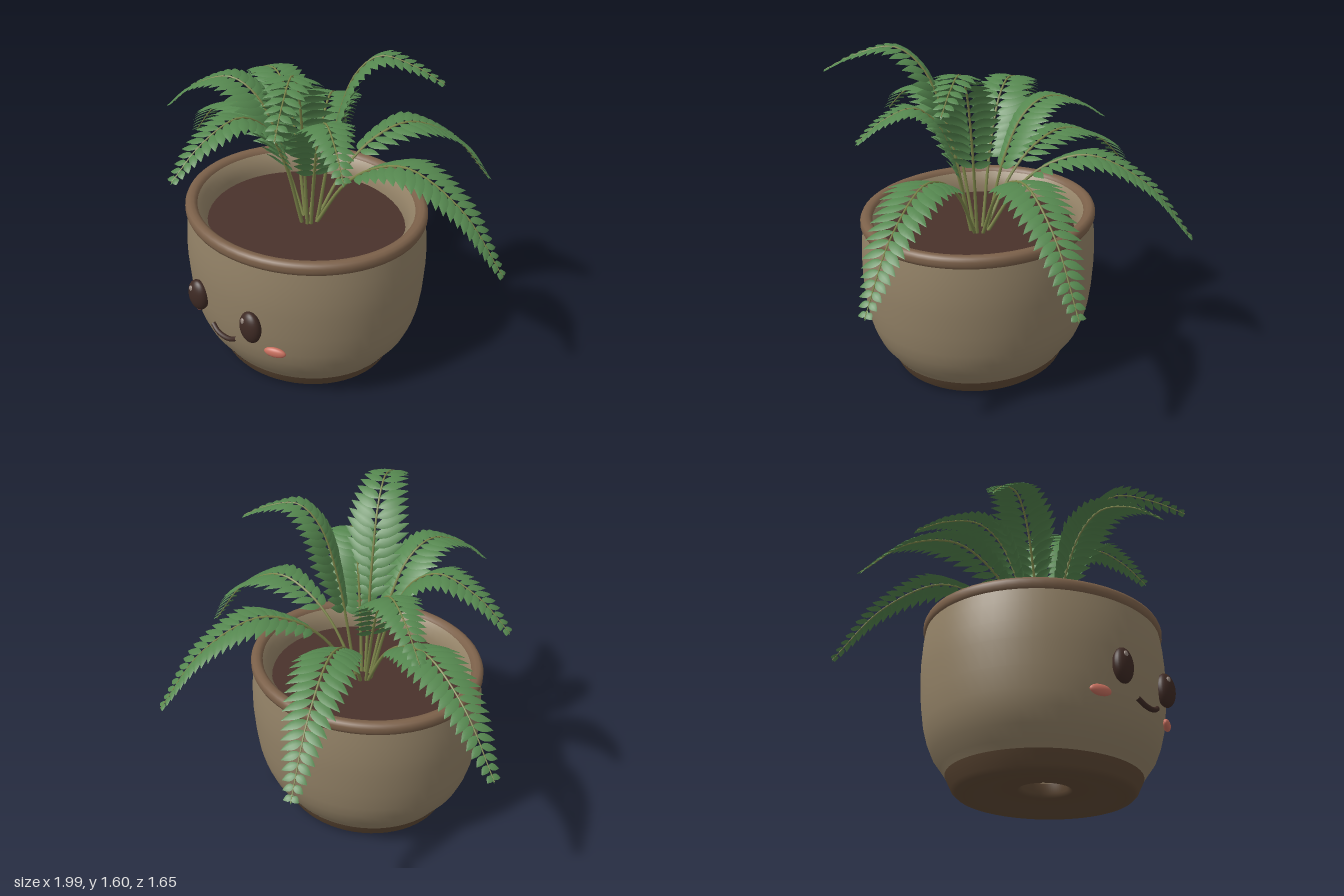
import * as THREE from 'three';

const mat = (name, color, side = THREE.FrontSide) => {
  const m = new THREE.MeshStandardMaterial({ color, side });
  m.name = name;
  return m;
};
const V = (x, y, z) => new THREE.Vector3(x, y, z);

export function createModel() {
  const clay = mat('clay', 0x928166);
  const rimBrown = mat('rimBrown', 0x7c614a);
  const footBrown = mat('footBrown', 0x5f4935);
  const soilBrown = mat('soilBrown', 0x49322b, THREE.DoubleSide);
  const dark = mat('darkBrown', 0x3e2a24);
  const glint = mat('glint', 0x94857c);
  const pink = mat('blushPink', 0xc8705f);
  const leafGreen = mat('leafGreen', 0x55874f, THREE.DoubleSide);
  const stemGreen = mat('stemGreen', 0x7c8549);

  const model = new THREE.Group();
  model.name = 'pottedFern';
  const add = (parent, name, geo, material, pos = [0, 0, 0], scale = [1, 1, 1]) => {
    const m = new THREE.Mesh(geo, material);
    m.name = name;
    m.position.set(...pos);
    m.scale.set(...scale);
    parent.add(m);
    return m;
  };

  // Oval pot, made of lathed rings
  const pot = new THREE.Group();
  pot.name = 'pot';
  pot.position.set(0.03, 0, 0.1);
  pot.scale.set(1, 1, 0.92);
  model.add(pot);
  const lathe = (name, pts, material) =>
    add(pot, name, new THREE.LatheGeometry(pts.map(p => new THREE.Vector2(...p)), 64), material);
  lathe('foot', [[0.11, 0.1], [0.11, 0.05], [0.13, 0.035], [0.2, 0.045], [0.27, 0.03], [0.33, 0.004],
    [0.38, 0], [0.42, 0.008], [0.44, 0.025], [0.47, 0.085]], footBrown);
  lathe('outerWall', [[0.468, 0.083], [0.49, 0.115], [0.532, 0.17], [0.56, 0.235], [0.578, 0.3], [0.592, 0.4],
    [0.6, 0.52], [0.6, 0.6], [0.594, 0.69], [0.582, 0.77]], clay);
  lathe('rim', [[0.575, 0.752], [0.59, 0.755], [0.597, 0.77], [0.597, 0.79], [0.59, 0.805], [0.575, 0.812],
    [0.555, 0.81], [0.54, 0.8], [0.535, 0.785]], rimBrown);
  lathe('innerWall', [[0.537, 0.79], [0.515, 0.765], [0.495, 0.72], [0.49, 0.66], [0.48, 0.3], [0.4, 0.1], [0.11, 0.1]], clay);
  const soil = add(pot, 'soil', new THREE.CircleGeometry(0.492, 48), soilBrown, [0, 0.69, 0]);
  soil.rotation.x = -Math.PI / 2;

  // Face
  const face = new THREE.Group();
  face.name = 'face';
  model.add(face);
  const ball = new THREE.SphereGeometry(1, 28, 20);
  for (const s of [-1, 1]) {
    const side = s > 0 ? 'left' : 'right';
    add(face, side + 'Eye', ball, dark, [0.032 + s * 0.178, 0.44, 0.64], [0.06, 0.08, 0.038]);
    add(face, side + 'EyeGlint', ball, glint, [0.014 + s * 0.178, 0.478, 0.667], [0.014, 0.016, 0.008]);
    const cheek = add(face, side + 'Cheek', ball, pink, [0.034 + s * 0.27, 0.315, 0.582], [0.053, 0.025, 0.018]);
    cheek.rotation.y = s * 0.4;
  }
  const smile = new THREE.CatmullRomCurve3([V(-0.048, 0.325, 0.643), V(-0.01, 0.306, 0.65),
    V(0.034, 0.3, 0.652), V(0.078, 0.306, 0.65), V(0.116, 0.325, 0.643)]);
  add(face, 'mouth', new THREE.TubeGeometry(smile, 24, 0.012, 8), dark);

  // Fronds: tip x, tip z, peak height, tip height
  const fronds = [
    [-0.51, -0.78, 1.11, 0.72], [0.44, -0.83, 1.11, 0.7],
    [0.99, -0.15, 1.1, 0.69], [-0.99, -0.08, 1.1, 0.76],
    [-0.65, 0.34, 1.36, 1.16], [-0.6, -0.16, 1.32, 1.18],
    [-0.05, 0.81, 1.34, 1.15], [0.45, 0.69, 1.59, 1.47],
    [0.57, -0.2, 1.56, 1.46], [0.53, 0.39, 1.34, 1.2],
  ];
  fronds.forEach((f, i) => model.add(makeFrond(i + 1, f, stemGreen, leafGreen)));
  return model;
}

function makeFrond(n, [tx, tz, peak, tipY], stemMat, leafMat) {
  const group = new THREE.Group();
  group.name = 'frond' + n;
  const dir = V(tx - 0.04, 0, tz - 0.09);
  const reach = dir.length();
  dir.normalize();
  const at = (f, y) => V(0.04, y, 0.09).addScaledVector(dir, 0.04 + f * (reach - 0.04));
  const drop = peak - tipY, rise = peak - 0.68;
  const curve = new THREE.CatmullRomCurve3([at(0, 0.68), at(0.16, 0.68 + rise * 0.6), at(0.32, 0.68 + rise * 0.9),
    at(0.5, peak), at(0.77, peak - drop * 0.33), at(1, tipY)]);

  // Tapering stem
  const steps = 30, stem = new THREE.TubeGeometry(curve, steps, 1, 6);
  const p = stem.attributes.position;
  for (let i = 0; i <= steps; i++) {
    const c = curve.getPointAt(i / steps), r = 0.009 - 0.0065 * i / steps;
    for (let j = 0; j <= 6; j++) {
      const k = i * 7 + j, v = V(0, 0, 0).fromBufferAttribute(p, k).sub(c).multiplyScalar(r).add(c);
      p.setXYZ(k, v.x, v.y, v.z);
    }
  }
  group.add(new THREE.Mesh(stem, stemMat));
  group.children[0].name = 'stem' + n;

  // Paired leaflets, each a ridged pointed blade of cross-sections
  const pos = [], idx = [], S = 7, pairs = 21;
  const side = V(-dir.z, 0, dir.x);
  const blade = (base, along, width, up, L, W) => {
    const o = pos.length / 3;
    for (let i = 0; i <= S; i++) {
      const u = i / S, w = W * Math.sin(Math.PI * Math.pow(u, 0.8)) + 0.001;
      for (const e of [-1, 0, 1]) {
        const q = base.clone().addScaledVector(along, u * L).addScaledVector(width, e * w)
          .addScaledVector(up, (e ? -0.25 * w : 0) + L * (0.18 * u - 0.32 * u * u));
        pos.push(q.x, q.y, q.z);
      }
      if (i < S) for (let e = 0; e < 2; e++) {
        const a = o + i * 3 + e;
        idx.push(a, a + 3, a + 1, a + 1, a + 3, a + 4);
      }
    }
  };
  for (let i = 0; i < pairs; i++) {
    const k = i / (pairs - 1), t = 0.3 + 0.68 * k;
    const base = curve.getPointAt(t), tan = curve.getTangentAt(t);
    tan.y *= 0.55;
    tan.normalize();
    const size = k < 0.25 ? 0.6 + 1.6 * k : 1 - 0.78 * Math.pow((k - 0.25) / 0.75, 1.3);
    for (const s of [-1, 1]) {
      const along = side.clone().multiplyScalar(s * 0.86).addScaledVector(tan, 0.5).normalize();
      const up = V(0, 0, 0).crossVectors(tan, side).normalize();
      if (up.y < 0) up.negate();
      const width = V(0, 0, 0).crossVectors(up, along).normalize();
      blade(base, along, width, up, 0.18 * size, 0.011 + 0.017 * size);
    }
  }
  // Tip leaflet
  const end = curve.getTangentAt(1);
  blade(curve.getPointAt(0.97), end, side, V(0, 0, 0).crossVectors(side, end).normalize(), 0.045, 0.007);
  const leaves = new THREE.BufferGeometry();
  leaves.setAttribute('position', new THREE.Float32BufferAttribute(pos, 3));
  leaves.setIndex(idx);
  leaves.computeVertexNormals();
  const mesh = new THREE.Mesh(leaves, leafMat);
  mesh.name = 'leaflets' + n;
  group.add(mesh);
  return group;
}
